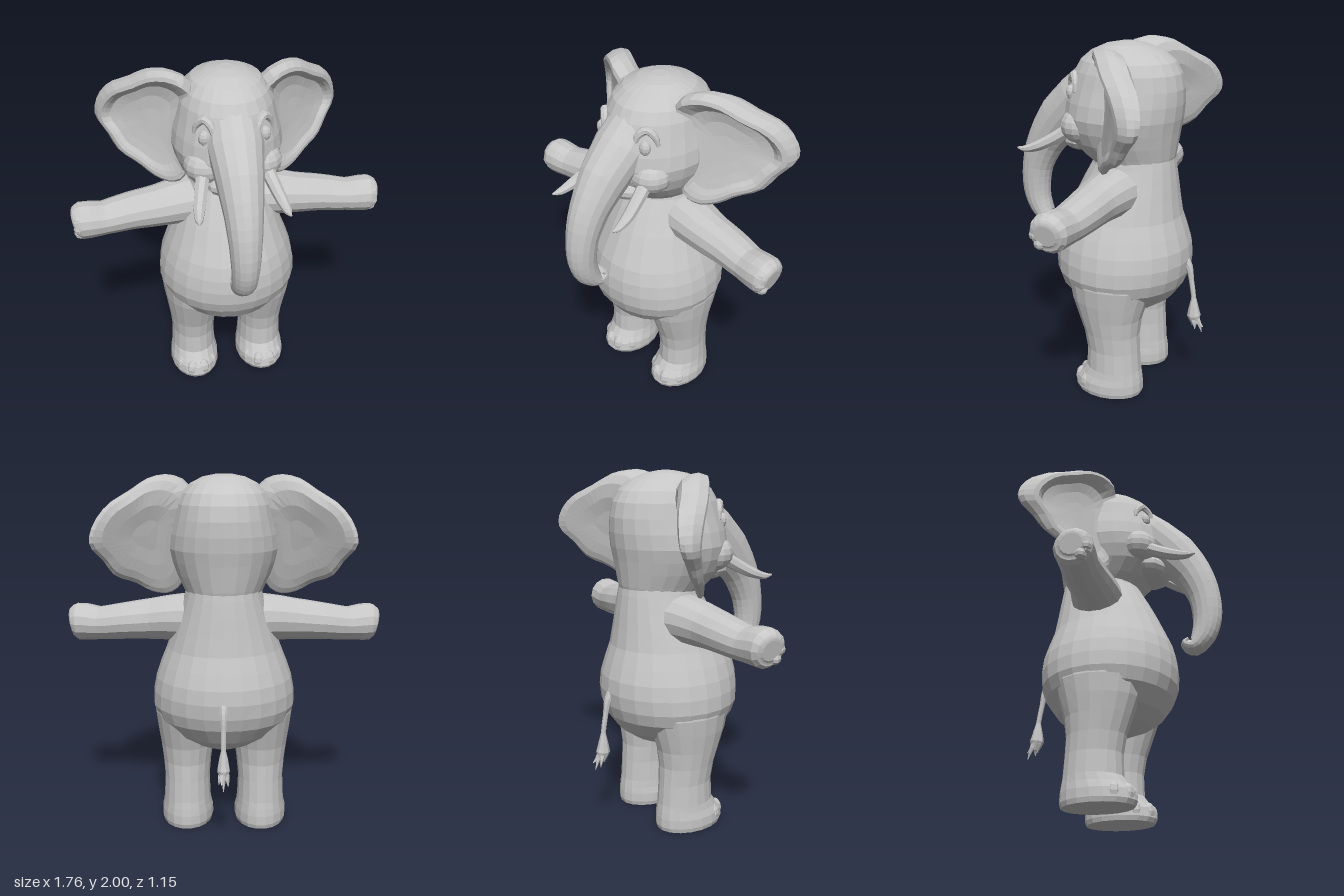
import * as THREE from 'three';

const V = (x, y, z) => new THREE.Vector3(x, y, z);
const skin = new THREE.MeshStandardMaterial({ color: 0xc6c6c6, flatShading: true });
skin.name = 'grey skin';

// Skin a list of rings (counter-clockwise seen from the far end) and cap both ends.
function loft(rings) {
  const n = rings[0].length, pos = [], idx = [];
  rings.forEach(r => r.forEach(p => pos.push(p.x, p.y, p.z)));
  for (let i = 0; i < rings.length - 1; i++) {
    for (let j = 0; j < n; j++) {
      const k = (j + 1) % n, a = i * n + j, b = i * n + k;
      idx.push(a, b, b + n, a, b + n, a + n);
    }
  }
  [0, rings.length - 1].forEach((r, end) => {
    const c = V(0, 0, 0);
    rings[r].forEach(p => c.addScaledVector(p, 1 / n));
    const ci = pos.length / 3;
    pos.push(c.x, c.y, c.z);
    for (let j = 0; j < n; j++) {
      const a = r * n + j, b = r * n + (j + 1) % n;
      idx.push(ci, ...(end ? [a, b] : [b, a]));
    }
  });
  const g = new THREE.BufferGeometry();
  g.setAttribute('position', new THREE.Float32BufferAttribute(pos, 3));
  g.setIndex(idx);
  g.computeVertexNormals();
  return g;
}

// Upright form from rows [y, front z, back z, half width], centred on cx
function upright(rows, n, cx = 0) {
  return loft(rows.map(([y, f, b, w]) => Array.from({ length: n }, (_, j) => {
    const a = j / n * Math.PI * 2;
    return V(cx + w * Math.cos(a), y, (f + b) / 2 - (f - b) / 2 * Math.sin(a));
  })));
}

// Limb along a smooth path from rows [x, y, z, radius u, radius v]
function limb(rows, n, steps, ref = V(1, 0, 0)) {
  const curve = new THREE.CatmullRomCurve3(rows.map(r => V(r[0], r[1], r[2])));
  const rings = [];
  for (let i = 0; i <= steps; i++) {
    const t = i / steps, s = t * (rows.length - 1), k = Math.min(Math.floor(s), rows.length - 2);
    const c = curve.getPoint(t), d = curve.getTangent(t);
    const u = ref.clone().addScaledVector(d, -ref.dot(d)).normalize(), v = d.clone().cross(u);
    const [ru, rv] = [3, 4].map(q => THREE.MathUtils.lerp(rows[k][q], rows[k + 1][q], s - k));
    rings.push(Array.from({ length: n }, (_, j) => {
      const a = (j + 0.5) / n * Math.PI * 2;
      return c.clone().addScaledVector(u, ru * Math.cos(a)).addScaledVector(v, rv * Math.sin(a));
    }));
  }
  return loft(rings);
}

function ball(x, y, z, rx, ry, rz, n = 10) {
  return new THREE.SphereGeometry(1, n, Math.ceil(n * 0.7)).scale(rx, ry, rz).translate(x, y, z);
}

function mirrored(g) {
  const m = g.clone().scale(-1, 1, 1), ix = m.index.array;
  for (let i = 0; i < ix.length; i += 3) [ix[i], ix[i + 1]] = [ix[i + 1], ix[i]];
  m.computeVertexNormals();
  return m;
}

// Dished ear, thick and rolled at the top, thin below; rings run from front centre to back centre
function earGeometry() {
  const outline = new THREE.CatmullRomCurve3([
    [0.19, 1.94], [0.29, 1.995], [0.4, 1.98], [0.5, 1.915], [0.61, 1.84], [0.68, 1.73], [0.69, 1.64],
    [0.635, 1.56], [0.58, 1.47], [0.48, 1.42], [0.4, 1.365], [0.31, 1.345], [0.24, 1.39], [0.22, 1.55], [0.19, 1.75],
  ].map(p => V(p[0], p[1], 0)), true).getPoints(36).slice(0, -1);
  const profile = [[0.25, -0.055], [0.5, -0.045], [0.7, -0.025], [0.8, 0.015], [0.88, 0.04], [0.95, 0.035],
    [1, -0.02], [0.98, -0.075], [0.9, -0.125], [0.75, -0.15], [0.5, -0.15], [0.25, -0.14]];
  return loft(profile.map(([s, dz]) => outline.map(p => {
    const x = 0.41 + (p.x - 0.41) * s, y = 1.68 + (p.y - 1.68) * s, out = Math.max(x - 0.3, -0.05);
    const thick = THREE.MathUtils.lerp(0.3, 1, THREE.MathUtils.clamp((y - 1.4) / 0.45, 0, 1));
    return V(x, y, -0.06 - 0.55 * out - 0.6 * out * out + dz * thick);
  })));
}

export function createModel() {
  const root = new THREE.Group();
  root.name = 'elephant';
  const add = (name, g) => {
    const m = new THREE.Mesh(g, skin);
    m.name = name;
    root.add(m);
  };
  const pair = (name, g) => {
    add('left ' + name, g);
    add('right ' + name, mirrored(g));
  };

  add('body', upright([
    [0.46, 0.04, -0.2, 0.1], [0.5, 0.14, -0.29, 0.2], [0.56, 0.22, -0.375, 0.3], [0.65, 0.28, -0.44, 0.38],
    [0.72, 0.305, -0.465, 0.403], [0.8, 0.312, -0.475, 0.4], [0.88, 0.305, -0.468, 0.385], [0.96, 0.285, -0.445, 0.358],
    [1.05, 0.245, -0.415, 0.322], [1.15, 0.2, -0.4, 0.288], [1.25, 0.15, -0.388, 0.25], [1.34, 0.1, -0.375, 0.22],
    [1.42, 0.08, -0.36, 0.2],
  ], 24));

  add('head', upright([
    [1.34, 0.09, -0.36, 0.2], [1.39, 0.16, -0.372, 0.225], [1.46, 0.23, -0.382, 0.262], [1.53, 0.26, -0.392, 0.288],
    [1.6, 0.265, -0.405, 0.303], [1.68, 0.255, -0.413, 0.293], [1.76, 0.235, -0.412, 0.272], [1.84, 0.205, -0.395, 0.255],
    [1.9, 0.17, -0.36, 0.228], [1.95, 0.11, -0.295, 0.185], [1.985, 0.03, -0.205, 0.115], [2, -0.05, -0.13, 0.04],
  ], 24));
  add('lower jaw', ball(0, 1.455, 0.165, 0.16, 0.075, 0.12, 12));

  // Trunk runs from the brow down to a curled tip
  add('trunk', limb([
    [0, 1.83, 0.06, 0.14, 0.11], [0, 1.68, 0.19, 0.15, 0.14], [0, 1.55, 0.315, 0.127, 0.14],
    [0, 1.4, 0.425, 0.102, 0.112], [0, 1.25, 0.482, 0.086, 0.093], [0, 1.1, 0.492, 0.075, 0.083],
    [0, 1.0, 0.465, 0.069, 0.07], [0, 0.935, 0.41, 0.064, 0.045], [0, 0.955, 0.365, 0.058, 0.03],
    [0, 0.98, 0.385, 0.05, 0.015],
  ], 16, 27));

  pair('ear', earGeometry());
  pair('eye', ball(0.157, 1.73, 0.173, 0.034, 0.042, 0.03));
  pair('brow', limb([
    [0.11, 1.74, 0.205, 0.014, 0.014], [0.125, 1.8, 0.185, 0.022, 0.022], [0.155, 1.825, 0.155, 0.024, 0.024],
    [0.19, 1.79, 0.132, 0.02, 0.02], [0.205, 1.74, 0.125, 0.01, 0.01],
  ], 8, 10, V(0.5, 0, 1)));
  pair('cheek', ball(0.15, 1.55, 0.12, 0.115, 0.1, 0.115, 14));
  pair('tusk', limb([
    [0.165, 1.54, 0.16, 0.04, 0.04], [0.195, 1.47, 0.27, 0.036, 0.036], [0.218, 1.425, 0.36, 0.032, 0.03],
    [0.23, 1.405, 0.43, 0.022, 0.02], [0.235, 1.408, 0.478, 0.005, 0.005],
  ], 8, 12));

  // Arms with blunt hands and low fingertips
  pair('arm', limb([
    [0.1, 1.21, -0.12, 0.15, 0.16], [0.25, 1.212, -0.095, 0.132, 0.145], [0.4, 1.2, -0.075, 0.116, 0.126],
    [0.55, 1.187, -0.068, 0.104, 0.116], [0.7, 1.17, -0.05, 0.094, 0.103], [0.78, 1.174, -0.038, 0.104, 0.106],
    [0.83, 1.175, -0.034, 0.105, 0.106], [0.86, 1.172, -0.033, 0.085, 0.088], [0.87, 1.17, -0.033, 0.055, 0.06],
  ], 14, 24, V(0, 1, 0)));
  for (let i = 0; i < 4; i++) {
    const a = -0.9 + i * 0.75;
    pair('fingertip ' + (i + 1),
      ball(0.837, 1.174 + 0.068 * Math.sin(a), -0.033 + 0.068 * Math.cos(a), 0.035, 0.034, 0.034, 8));
  }

  // Legs rise into the hips and flare into feet with shallow toes
  pair('leg', upright([
    [0.005, 0.115, -0.275, 0.143], [0.03, 0.128, -0.283, 0.15], [0.08, 0.118, -0.282, 0.149],
    [0.12, 0.085, -0.277, 0.14], [0.16, 0.057, -0.27, 0.135], [0.28, 0.053, -0.262, 0.13],
    [0.38, 0.07, -0.257, 0.139], [0.48, 0.105, -0.27, 0.153], [0.58, 0.14, -0.3, 0.169],
    [0.68, 0.16, -0.33, 0.181], [0.78, 0.13, -0.31, 0.165],
  ], 18, 0.213));
  for (let i = 0; i < 4; i++) {
    const a = -0.9 + i * 0.6;
    pair('toe ' + (i + 1),
      ball(0.213 + 0.112 * Math.sin(a), 0.062, -0.077 + 0.168 * Math.cos(a), 0.042, 0.056, 0.04, 8));
  }

  // Tail with a tuft of pointed strands
  add('tail', limb([
    [0, 0.83, -0.43, 0.028, 0.028], [0, 0.76, -0.475, 0.022, 0.022], [0, 0.68, -0.492, 0.015, 0.015],
    [0, 0.57, -0.51, 0.014, 0.014], [0, 0.52, -0.512, 0.026, 0.026], [0, 0.46, -0.515, 0.036, 0.04],
    [0, 0.41, -0.525, 0.018, 0.024],
  ], 8, 18));
  [[0, 0.36, -0.565], [0.025, 0.385, -0.53], [-0.025, 0.38, -0.545], [0, 0.395, -0.505], [0.01, 0.4, -0.575]]
    .forEach(([x, y, z], i) => add('tail strand ' + (i + 1), limb([
      [x * 0.4, 0.46, -0.515 + (z + 0.53) * 0.3, 0.018, 0.018],
      [x * 0.8, 0.42, (z - 0.525) / 2, 0.013, 0.013], [x, y, z, 0.002, 0.002],
    ], 5, 4)));

  return root;
}
